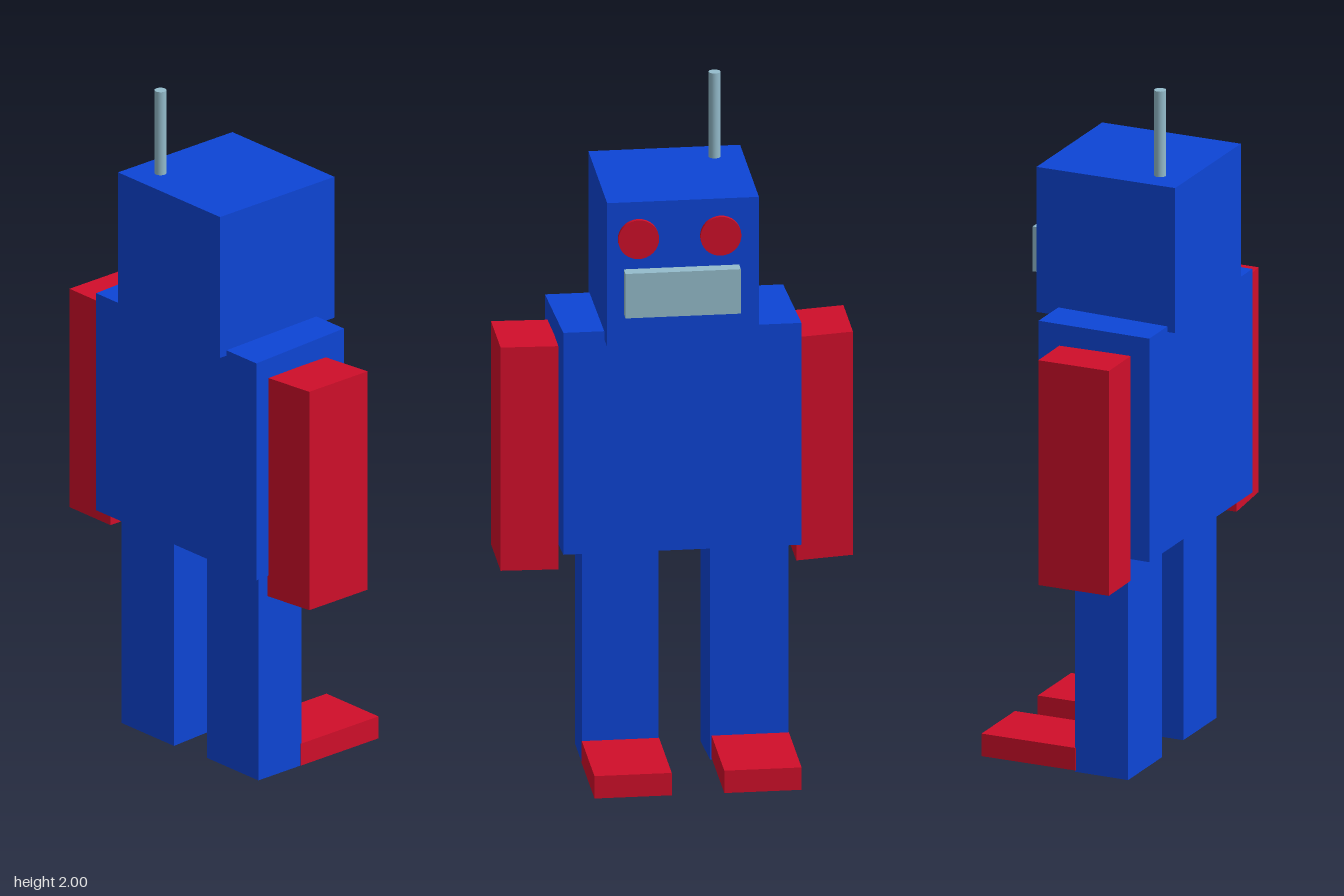
import * as THREE from 'three';

const blue = new THREE.MeshStandardMaterial({ color: 0x0d45d6 });
const red = new THREE.MeshStandardMaterial({ color: 0xd00e2a });
const steel = new THREE.MeshStandardMaterial({ color: 0x94bccc });

// Box given by its extents, optionally skewed about its centre:
// xz = x per z, yz = y per z, zx = z per x, yx = y per x
function box(name, material, [x0, x1], [y0, y1], [z0, z1], { xz = 0, yz = 0, zx = 0, yx = 0 } = {}) {
  const geometry = new THREE.BoxGeometry(x1 - x0, y1 - y0, z1 - z0);
  geometry.applyMatrix4(new THREE.Matrix4().set(
    1, 0, xz, 0,
    yx, 1, yz, 0,
    zx, 0, 1, 0,
    0, 0, 0, 1));
  geometry.computeVertexNormals();
  const mesh = new THREE.Mesh(geometry, material);
  mesh.name = name;
  mesh.position.set((x0 + x1) / 2, (y0 + y1) / 2, (z0 + z1) / 2);
  return mesh;
}

function cylinder(name, material, radius, length, x, y, z, segments = 32) {
  const mesh = new THREE.Mesh(new THREE.CylinderGeometry(radius, radius, length, segments), material);
  mesh.name = name;
  mesh.position.set(x, y, z);
  return mesh;
}

export function createModel() {
  const robot = new THREE.Group();
  robot.name = 'robot';

  // Head and torso; the face looks towards -z
  robot.add(box('head', blue, [-0.216, 0.214], [1.315, 1.746], [-0.156, 0.276]));
  robot.add(box('torso', blue, [-0.34, 0.335], [0.671, 1.335], [-0.088, 0.252], { xz: 0.03, yz: -0.02 }));

  // Face: round eyes and a bar mouth
  for (const [name, x] of [['rightEye', -0.107], ['leftEye', 0.126]]) {
    const eye = cylinder(name, red, 0.058, 0.03, x, 1.637, -0.153);
    eye.rotation.x = Math.PI / 2;
    robot.add(eye);
  }
  robot.add(box('mouth', steel, [-0.16, 0.167], [1.413, 1.546], [-0.195, -0.15]));

  // Antenna on the rear of the head
  robot.add(cylinder('antenna', steel, 0.017, 0.26, -0.133, 1.87, 0.19, 24));

  // Arms, slightly skewed slabs against the torso
  robot.add(box('leftArm', red, [0.335, 0.5], [0.608, 1.276], [-0.02, 0.2], { zx: -0.06, yx: 0.04 }));
  robot.add(box('rightArm', red, [-0.5, -0.338], [0.608, 1.276], [-0.02, 0.2], { zx: -0.06, yx: -0.04 }));

  // Legs and feet
  robot.add(box('leftLeg', blue, [0.048, 0.264], [0.01, 0.675], [0.014, 0.176]));
  robot.add(box('rightLeg', blue, [-0.317, -0.095], [0.004, 0.675], [0.014, 0.176], { xz: 0.04, yz: -0.02 }));
  robot.add(box('leftFoot', red, [0.046, 0.265], [0.01, 0.077], [-0.277, 0.016]));
  robot.add(box('rightFoot', red, [-0.322, -0.103], [0.01, 0.077], [-0.277, 0.016]));

  return robot;
}
